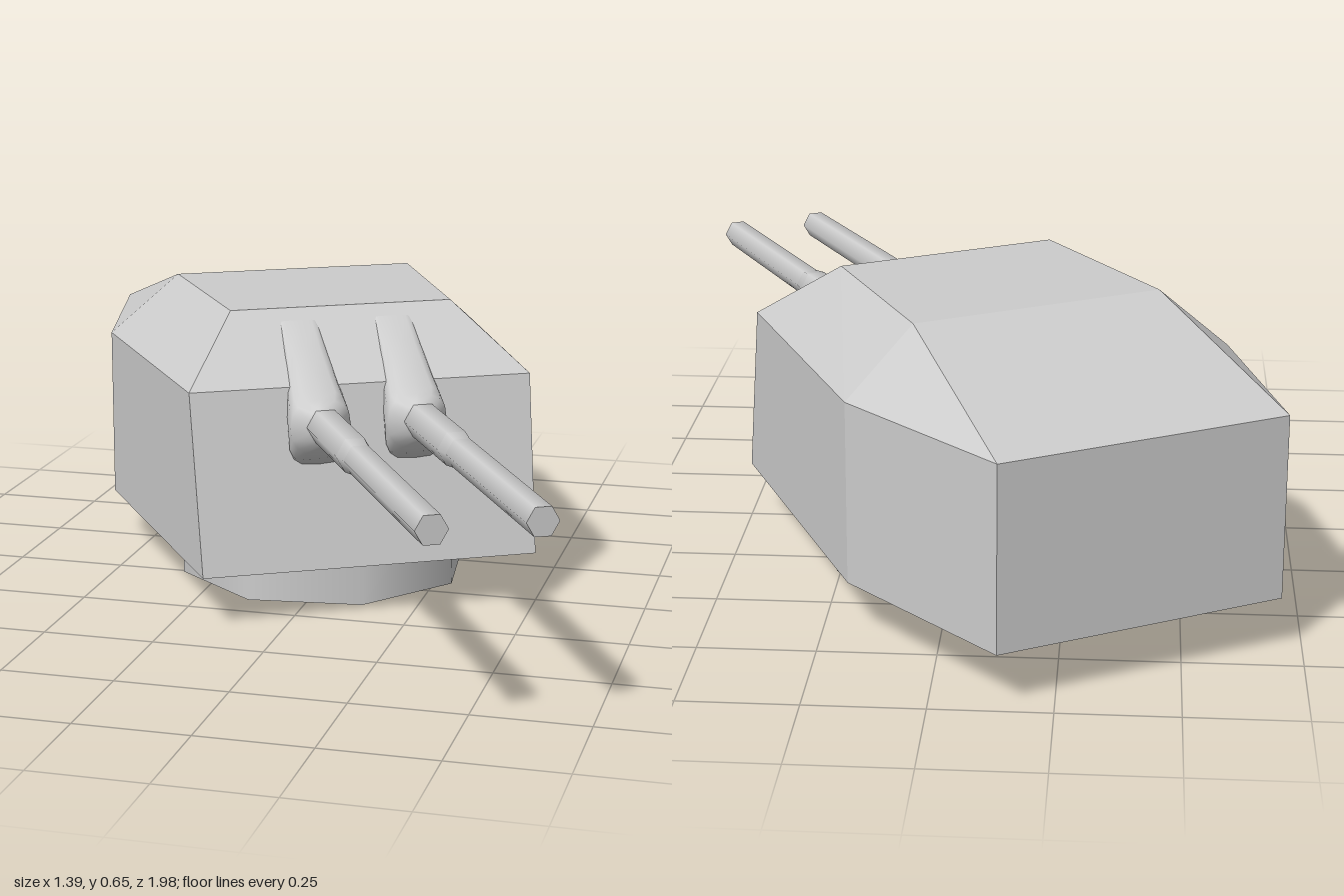
import * as THREE from 'three';
import { ConvexGeometry } from 'three/addons/geometries/ConvexGeometry.js';

const grey = new THREE.MeshStandardMaterial({ color: 0xcccccc });
const greyFlat = new THREE.MeshStandardMaterial({ color: 0xcccccc, flatShading: true });
const greyOpen = new THREE.MeshStandardMaterial({ color: 0xcccccc, side: THREE.DoubleSide });

function part(name, geometry, material = grey) {
  const mesh = new THREE.Mesh(geometry, material);
  mesh.name = name;
  return mesh;
}

// Armoured hull: mirrored corner points [half width, y, z]
function hullGeometry() {
  const corners = [
    [0.383, 0.118, 0.424], [0.45, 0.118, -0.325], [0.325, 0.118, -0.777], // floor
    [0.391, 0.515, 0.335], [0.45, 0.515, -0.325], [0.325, 0.515, -0.777], // eaves
    [0.258, 0.655, 0.153], [0.288, 0.655, -0.305],                        // roof
  ];
  const points = corners.flatMap(([x, y, z]) =>
    [new THREE.Vector3(x, y, z), new THREE.Vector3(-x, y, z)]);
  return new ConvexGeometry(points);
}

// Gun mantlet: sections [z, top, bottom, half width, squareness] lofted along z
function mantletGeometry() {
  const sections = [
    [0.185, 0.632, 0.60, 0.046, 0.4],
    [0.26, 0.588, 0.50, 0.052, 0.55],
    [0.33, 0.54, 0.40, 0.062, 0.6],
    [0.372, 0.512, 0.345, 0.068, 0.6],
    [0.395, 0.498, 0.375, 0.068, 0.8],
    [0.435, 0.49, 0.404, 0.043, 1],
  ];
  const sides = 16;
  const positions = [];
  const index = [];
  const soften = (v, p) => Math.sign(v) * Math.abs(v) ** p;
  sections.forEach(([z, top, bottom, w, p], i) => {
    for (let j = 0; j < sides; j++) {
      const a = (j / sides) * Math.PI * 2;
      positions.push(
        w * soften(Math.cos(a), p),
        (top + bottom) / 2 + ((top - bottom) / 2) * soften(Math.sin(a), p),
        z);
      if (i < sections.length - 1) {
        const k = (j + 1) % sides;
        const a0 = i * sides + j, b0 = i * sides + k;
        index.push(a0, b0, b0 + sides, a0, b0 + sides, a0 + sides);
      }
    }
  });
  // front cap
  const last = (sections.length - 1) * sides;
  for (let j = 1; j < sides - 1; j++) index.push(last, last + j, last + j + 1);
  const geometry = new THREE.BufferGeometry();
  geometry.setAttribute('position', new THREE.Float32BufferAttribute(positions, 3));
  geometry.setIndex(index);
  geometry.computeVertexNormals();
  return geometry;
}

// Six-sided tube section along z
function tube(rBack, rFront, z0, z1, open) {
  return new THREE.CylinderGeometry(rFront, rBack, z1 - z0, 6, 1, open, Math.PI / 6)
    .rotateX(Math.PI / 2)
    .translate(0, 0.447, (z0 + z1) / 2);
}

function gun(name, x) {
  const group = new THREE.Group();
  group.name = name;
  group.position.x = x;
  group.add(
    part('mantlet', mantletGeometry()),
    part('barrelSleeve', tube(0.042, 0.041, 0.38, 0.68, true)),
    part('barrelStep', tube(0.041, 0.035, 0.68, 0.72, true)),
    part('barrel', tube(0.035, 0.034, 0.72, 1.235, false)));
  return group;
}

export function createModel() {
  const model = new THREE.Group();
  model.name = 'gunTurret';

  // Whole turret is trained to its left
  const turret = new THREE.Group();
  turret.name = 'turret';
  turret.position.set(-0.04, 0, -0.16);
  turret.rotation.y = THREE.MathUtils.degToRad(29.3);
  model.add(turret);

  // Open eight-sided ring under the hull
  const ring = new THREE.CylinderGeometry(0.343, 0.343, 0.118, 8, 1, true).translate(0, 0.059, 0);
  turret.add(
    part('baseRing', ring, greyOpen),
    part('hull', hullGeometry(), greyFlat),
    gun('leftGun', 0.11),
    gun('rightGun', -0.11));
  return model;
}
